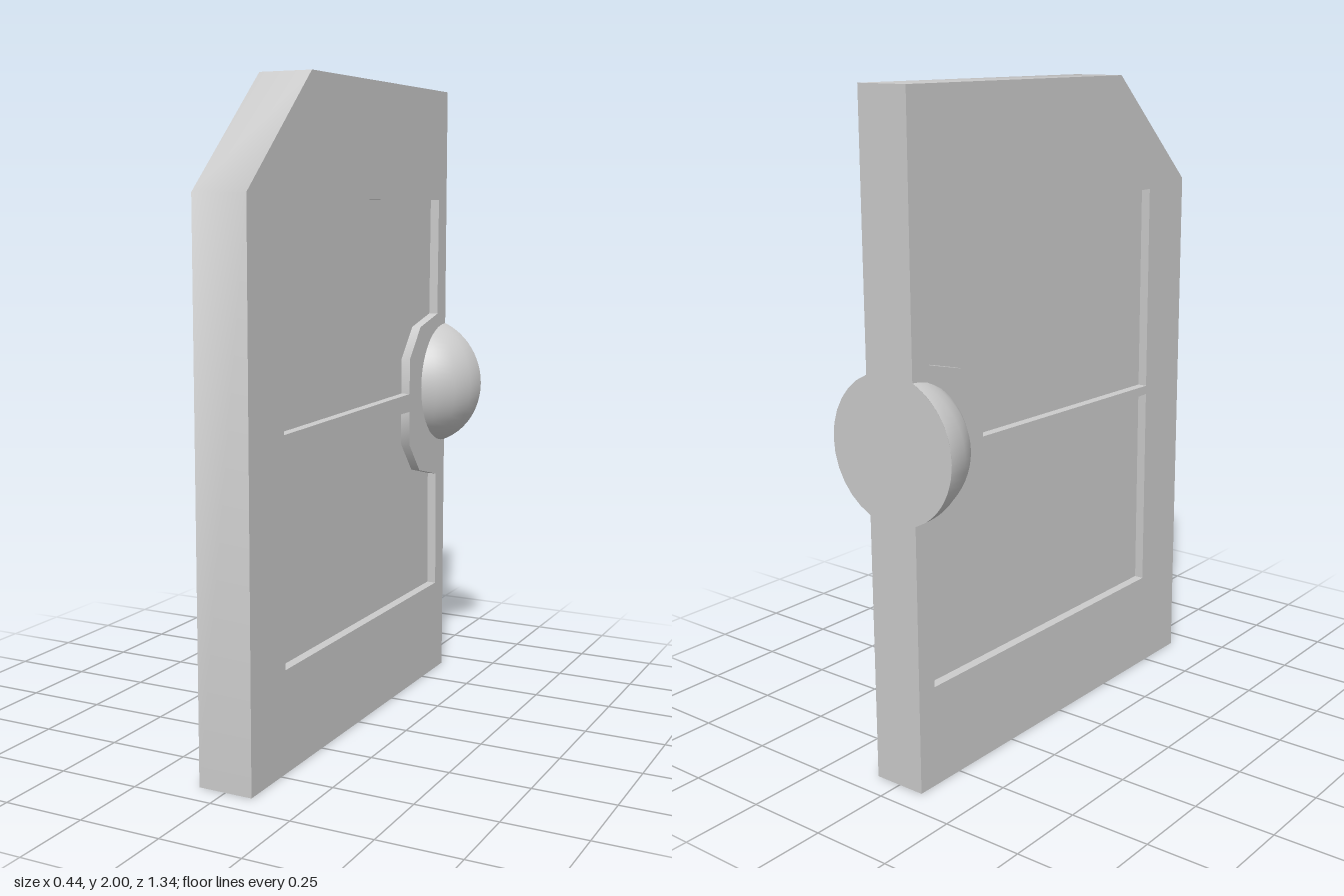
import * as THREE from 'three';
import { toCreasedNormals } from 'three/addons/utils/BufferGeometryUtils.js';

const HALF = 0.085;        // half thickness of the door
const FLOOR = 0.055;       // height of the recessed panel floors
const KNOB_Y = 1.015, KNOB_R = 0.22, BACK_Z = -0.67;

export function createModel() {
  const group = new THREE.Group();
  const material = new THREE.MeshStandardMaterial({ color: 0xcccccc });
  const add = (name, geometry) => {
    const mesh = new THREE.Mesh(geometry, material);
    mesh.name = name;
    group.add(mesh);
    return mesh;
  };

  // Profiles are given as [z, y]; the shape's x axis runs along -z
  const points = (list) => list.map(([z, y]) => new THREE.Vector2(-z, y));

  const outline = points([
    [0.67, 0], [-0.67, 0], [-0.67, 2], [0.305, 2], [0.67, 1.66],
  ]);
  const panels = {
    upperPanel: points([
      [0.475, 0.99], [-0.375, 1.005], [-0.375, 1.12], [-0.46, 1.22],
      [-0.6, 1.255], [-0.605, 1.64], [0.475, 1.64],
    ]),
    lowerPanel: points([
      [0.475, 0.31], [-0.605, 0.31], [-0.6, 0.7], [-0.46, 0.735],
      [-0.375, 0.835], [-0.375, 0.945], [0.475, 0.962],
    ]),
  };

  // Door frame with openings for the panels
  const frame = new THREE.Shape(outline);
  for (const p of Object.values(panels)) frame.holes.push(new THREE.Path(p));
  const frameGeometry = new THREE.ExtrudeGeometry(frame, { depth: 2 * HALF, bevelEnabled: false });
  frameGeometry.translate(0, 0, -HALF).rotateY(Math.PI / 2);
  add('doorFrame', toCreasedNormals(frameGeometry, 0.9));

  // Recessed panel floors on both sides
  for (const [name, p] of Object.entries(panels)) {
    for (const side of [1, -1]) {
      const list = p.map((v) => new THREE.Vector2(v.x * side, v.y));
      const floor = add(name + (side > 0 ? 'Left' : 'Right'), new THREE.ShapeGeometry(new THREE.Shape(list)));
      floor.rotation.y = side * Math.PI / 2;
      floor.position.x = side * FLOOR;
    }
  }

  // Half-round knob through the door, cut flat at the back edge
  const knob = add('knob', new THREE.SphereGeometry(KNOB_R, 10, 32, 0, Math.PI));
  knob.position.set(0, KNOB_Y, BACK_Z);
  const cap = add('knobBack', new THREE.CircleGeometry(KNOB_R, 32));
  cap.rotation.y = Math.PI;
  cap.position.set(0, KNOB_Y, BACK_Z);

  return group;
}
